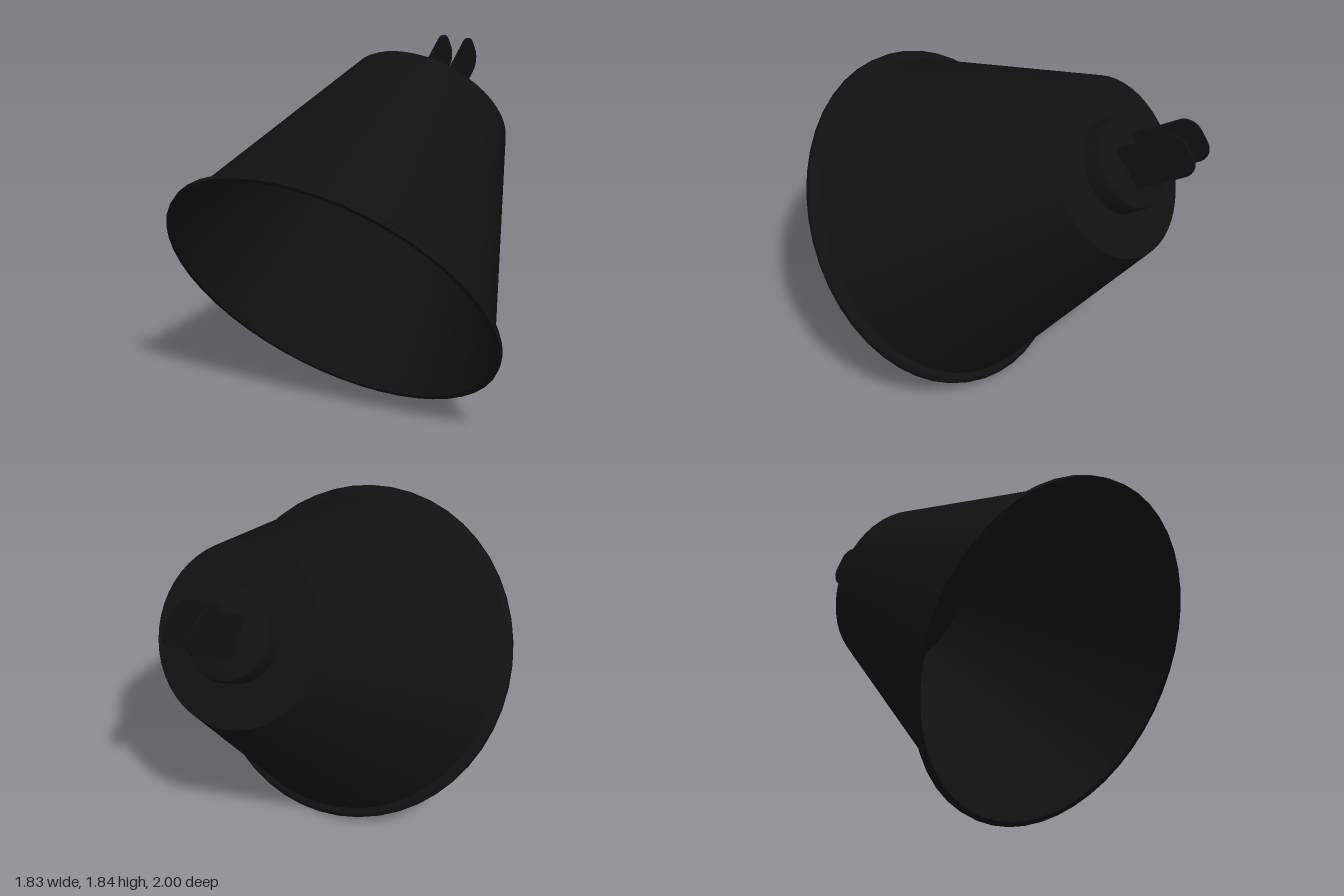
import * as THREE from 'three';
import { toCreasedNormals } from 'three/addons/utils/BufferGeometryUtils.js';

const SEGMENTS = 48;

export function createModel() {
  const model = new THREE.Group();
  const black = new THREE.MeshStandardMaterial({ color: 0x111111, side: THREE.DoubleSide });

  const add = (name, geometry) => {
    const mesh = new THREE.Mesh(toCreasedNormals(geometry, 0.6), black);
    mesh.name = name;
    model.add(mesh);
    return mesh;
  };
  const lathe = (profile) =>
    new THREE.LatheGeometry(profile.map(([r, y]) => new THREE.Vector2(r, y)), SEGMENTS);

  // Hollow conical shade with a small flared lip round the mouth
  add('shade', lathe([
    [0, 1.24], [0.44, 1.24], [0.86, 0.04], [0.89, 0],
    [0.917, 0], [0.917, 0.025], [0.9, 0.045], [0.868, 0.047],
    [0.457, 1.26], [0, 1.26],
  ]));

  // Round mounting collar with a softened edge
  add('collar', lathe([
    [0, 1.25], [0.236, 1.25], [0.236, 1.35], [0.228, 1.369], [0.21, 1.377], [0, 1.377],
  ]));

  // Pair of thin bracket plates with rounded free corners
  const w = 0.114, base = 1.37, tip = 1.757, r = 0.085;
  const plate = new THREE.Shape();
  plate.moveTo(-w, base);
  plate.lineTo(w, base);
  plate.lineTo(w, tip - r);
  plate.absarc(w - r, tip - r, r, 0, Math.PI / 2);
  plate.absarc(r - w, tip - r, r, Math.PI / 2, Math.PI);
  plate.closePath();
  const thickness = 0.01;
  for (const side of [-1, 1]) {
    const geometry = new THREE.ExtrudeGeometry(plate, {
      depth: thickness, bevelEnabled: false, curveSegments: 8,
    });
    geometry.translate(0, 0, -thickness / 2);
    geometry.rotateY(-Math.PI / 2);
    add(side > 0 ? 'leftBracketPlate' : 'rightBracketPlate', geometry).position.x = side * 0.075;
  }

  // Tilt so the mouth faces forward and down
  model.rotation.x = -0.981;
  model.position.set(0, 0.768, 0.487);

  const root = new THREE.Group();
  root.name = 'lampShade';
  root.add(model);
  return root;
}
